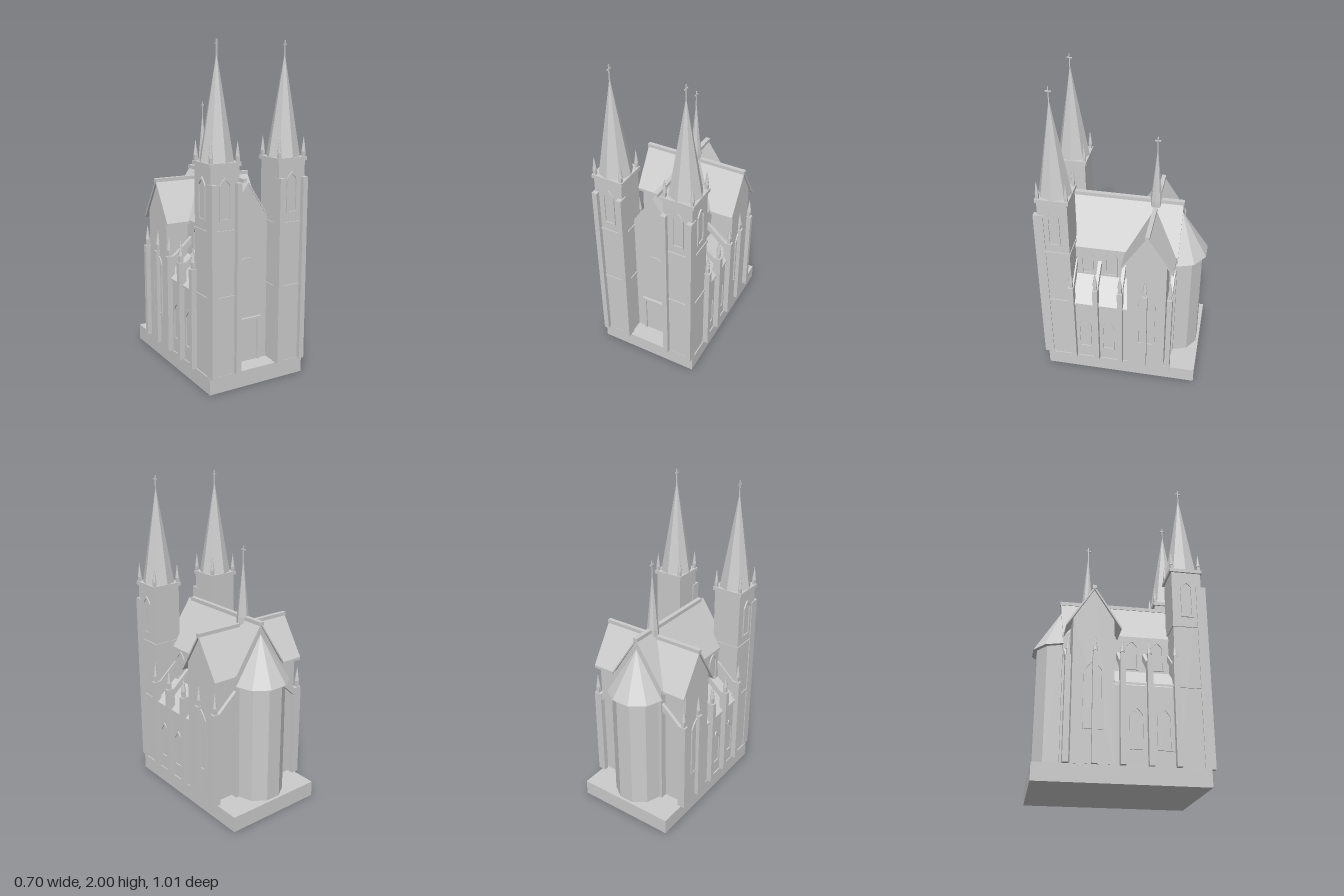
import * as THREE from 'three';

export function createModel() {
  const root = new THREE.Group();
  root.name = 'church';
  const stone = new THREE.MeshStandardMaterial({ color: 0xcccccc, flatShading: true });
  stone.name = 'stone';

  const add = (parent, name, geo, x = 0, y = 0, z = 0) => {
    const m = new THREE.Mesh(geo, stone);
    m.name = name;
    m.position.set(x, y, z);
    parent.add(m);
    return m;
  };
  // Box given by its limits on each axis
  const box = (parent, name, x0, x1, y0, y1, z0, z1) =>
    add(parent, name, new THREE.BoxGeometry(x1 - x0, y1 - y0, z1 - z0),
      (x0 + x1) / 2, (y0 + y1) / 2, (z0 + z1) / 2);
  const group = (parent, name, x = 0, y = 0, z = 0) => {
    const g = new THREE.Group();
    g.name = name;
    g.position.set(x, y, z);
    parent.add(g);
    return g;
  };
  const polygon = (pts) => new THREE.Shape(pts.map(([x, y]) => new THREE.Vector2(x, y)));
  const extrude = (shape, depth) =>
    new THREE.ExtrudeGeometry(shape, { depth, bevelEnabled: false, curveSegments: 6 });

  // Solid gabled wall, running along z from 0 to depth
  const gableWall = (half, base, eave, peak, depth) =>
    extrude(polygon([[-half, base], [half, base], [half, eave], [0, peak], [-half, eave]]), depth);
  // Two sloping roof slabs joined at the ridge
  const roofSlabs = (half, eave, peak, t, depth) =>
    extrude(polygon([[-half, eave - t], [0, peak - t], [half, eave - t],
      [half, eave], [0, peak], [-half, eave]]), depth);

  // Pointed arch outline standing on y = 0
  const arch = (Ctor, half, spring, peak, y0 = 0) => {
    const s = new Ctor();
    s.moveTo(-half, y0);
    s.lineTo(half, y0);
    s.lineTo(half, spring);
    s.quadraticCurveTo(half * 0.75, (spring + peak) / 2, 0, peak);
    s.quadraticCurveTo(-half * 0.75, (spring + peak) / 2, -half, spring);
    return s;
  };
  // Pointed window: raised frame around a thin pane
  const archWindow = (parent, name, half, spring, peak, x, y, z, turn) => {
    const g = group(parent, name, x, y, z);
    g.rotation.y = turn;
    const frame = arch(THREE.Shape, half, spring, peak);
    frame.holes.push(arch(THREE.Path, half - 0.01, spring, peak - 0.016, 0.01));
    add(g, 'windowFrame', extrude(frame, 0.009));
    add(g, 'windowPane', extrude(arch(THREE.Shape, half - 0.01, spring, peak - 0.016, 0.01), 0.002));
  };

  const cone = (parent, name, r, h, x, y, z, sides = 8) =>
    add(parent, name, new THREE.CylinderGeometry(0.001, r, h, sides), x, y + h / 2, z);
  const pinnacle = (parent, x, y, z, r, shaft, tip) => {
    const g = group(parent, 'pinnacle', x, y, z);
    box(g, 'pinnacleShaft', -r * 0.8, r * 0.8, 0, shaft, -r * 0.8, r * 0.8);
    cone(g, 'pinnacleTip', r * 1.2, tip, 0, shaft, 0);
  };
  const cross = (parent, x, y, z, h) => {
    const g = group(parent, 'cross', x, y, z);
    box(g, 'crossPost', -0.003, 0.003, -0.02, h, -0.003, 0.003);
    box(g, 'crossArm', -0.003, 0.003, h - 0.028, h - 0.021, -0.017, 0.017);
  };

  // Plinth
  box(root, 'plinth', -0.323, 0.323, 0, 0.1, -0.5, 0.48);

  // Nave
  add(root, 'nave', gableWall(0.178, 0.1, 0.91, 1.19, 0.66), 0, 0, -0.34);
  add(root, 'naveRoof', roofSlabs(0.187, 0.92, 1.205, 0.015, 0.665), 0, 0, -0.345);
  box(root, 'naveRidge', -0.014, 0.014, 1.19, 1.213, -0.35, 0.33);

  // West front between the towers
  add(root, 'facade', gableWall(0.136, 0.1, 0.985, 1.185, 0.055), 0, 0, 0.31);
  add(root, 'facadeCoping', roofSlabs(0.13, 1.005, 1.2, 0.016, 0.048), 0, 0, 0.32);
  const rose = add(root, 'roseWindow', new THREE.CylinderGeometry(0.08, 0.08, 0.008, 32), 0, 0.67, 0.366);
  rose.rotation.x = Math.PI / 2;
  for (const s of [-1, 1]) box(root, 'doorJamb', s * 0.076 - 0.009, s * 0.076 + 0.009, 0.1, 0.357, 0.36, 0.378);
  box(root, 'doorLintel', -0.09, 0.09, 0.355, 0.375, 0.36, 0.382);
  box(root, 'door', -0.067, 0.067, 0.1, 0.355, 0.36, 0.368);

  // Transept
  const transept = group(root, 'transept', 0, 0, -0.177);
  const wall = add(transept, 'transeptWall', gableWall(0.12, 0.1, 0.95, 1.143, 0.65), -0.325);
  wall.rotation.y = Math.PI / 2;
  const tRoof = add(transept, 'transeptRoof', roofSlabs(0.16, 0.912, 1.162, 0.018, 0.674), -0.337);
  tRoof.rotation.y = Math.PI / 2;
  box(transept, 'transeptRidge', -0.34, 0.34, 1.148, 1.17, -0.013, 0.013);

  // Crossing spire
  add(root, 'crossingSpireBase', new THREE.CylinderGeometry(0.037, 0.037, 0.04, 8), 0, 1.185, -0.177);
  cone(root, 'crossingSpire', 0.037, 0.36, 0, 1.2, -0.177);
  cross(root, 0, 1.55, -0.177, 0.085);

  // Apse
  const apseWall = add(root, 'apseWall',
    new THREE.CylinderGeometry(0.15, 0.15, 0.755, 10, 1, false, Math.PI / 2), 0, 0.4775, -0.34);
  const apseRoof = add(root, 'apseRoof',
    new THREE.CylinderGeometry(0.001, 0.175, 0.285, 10, 1, false, Math.PI / 2), 0, 0.9925, -0.34);
  apseWall.scale.x = apseRoof.scale.x = 1.05;

  const bays = [0.297, 0.144, -0.012, -0.168, -0.323];
  for (const s of [-1, 1]) {
    const turn = s * Math.PI / 2;
    const side = group(root, s > 0 ? 'leftSide' : 'rightSide');

    // Aisle with lean-to roof
    add(side, 'aisle', extrude(polygon([[0, 0.1], [s * 0.316, 0.1], [s * 0.316, 0.56],
      [s * 0.17, 0.69], [0, 0.69]]), 0.36), 0, 0, -0.06);
    add(side, 'aisleRoof', extrude(polygon([[s * 0.17, 0.685], [s * 0.328, 0.56],
      [s * 0.328, 0.573], [s * 0.17, 0.705]]), 0.35), 0, 0, -0.055);
    for (const z of [0.224, 0.07]) {
      archWindow(side, 'aisleWindow', 0.042, 0.19, 0.25, s * 0.315, 0.19, z, turn);
      archWindow(side, 'clerestoryWindow', 0.04, 0.145, 0.195, s * 0.177, 0.71, z, turn);
    }
    archWindow(side, 'transeptWindow', 0.057, 0.34, 0.41, s * 0.324, 0.29, -0.177, turn);

    // Buttresses with pinnacles and flying arches
    bays.forEach((z, i) => {
      box(side, 'buttress', s * 0.325 - 0.025, s * 0.325 + 0.025, 0.1, 0.71, z - 0.016, z + 0.016);
      pinnacle(side, s * 0.329, 0.71, z, 0.013, 0.04, 0.09);
      if (i !== 3) {
        add(side, 'flyingButtress', extrude(polygon([[s * 0.17, 0.78], [s * 0.31, 0.65],
          [s * 0.31, 0.7], [s * 0.17, 0.825]]), 0.022), 0, 0, z - 0.011);
      }
    });

    // Tower
    const tower = group(root, s > 0 ? 'leftTower' : 'rightTower', s * 0.225, 0, 0.385);
    box(tower, 'towerShaft', -0.091, 0.091, 0.1, 1.32, -0.089, 0.093);
    for (const y of [0.57, 0.955]) box(tower, 'stringCourse', -0.097, 0.097, y - 0.007, y + 0.007, -0.094, 0.099);
    for (const c of [-1, 1]) {
      box(tower, 'towerButtress', c * 0.081 - 0.016, c * 0.081 + 0.016, 0.1, 1.225, 0.06, 0.12);
    }
    box(tower, 'cornice', -0.101, 0.101, 1.318, 1.34, -0.1, 0.101);
    archWindow(tower, 'belfryWindow', 0.037, 0.2, 0.245, 0, 1.015, 0.092, 0);
    archWindow(tower, 'belfryWindow', 0.037, 0.2, 0.245, s * 0.09, 1.015, 0, turn);
    for (const px of [-1, 1]) {
      for (const pz of [-1, 1]) pinnacle(tower, px * 0.085, 1.34, pz * 0.085, 0.011, 0.03, 0.085);
    }
    cone(tower, 'spire', 0.1, 0.585, 0, 1.34, 0);
    cross(tower, 0, 1.92, 0, 0.08);
  }

  return root;
}
